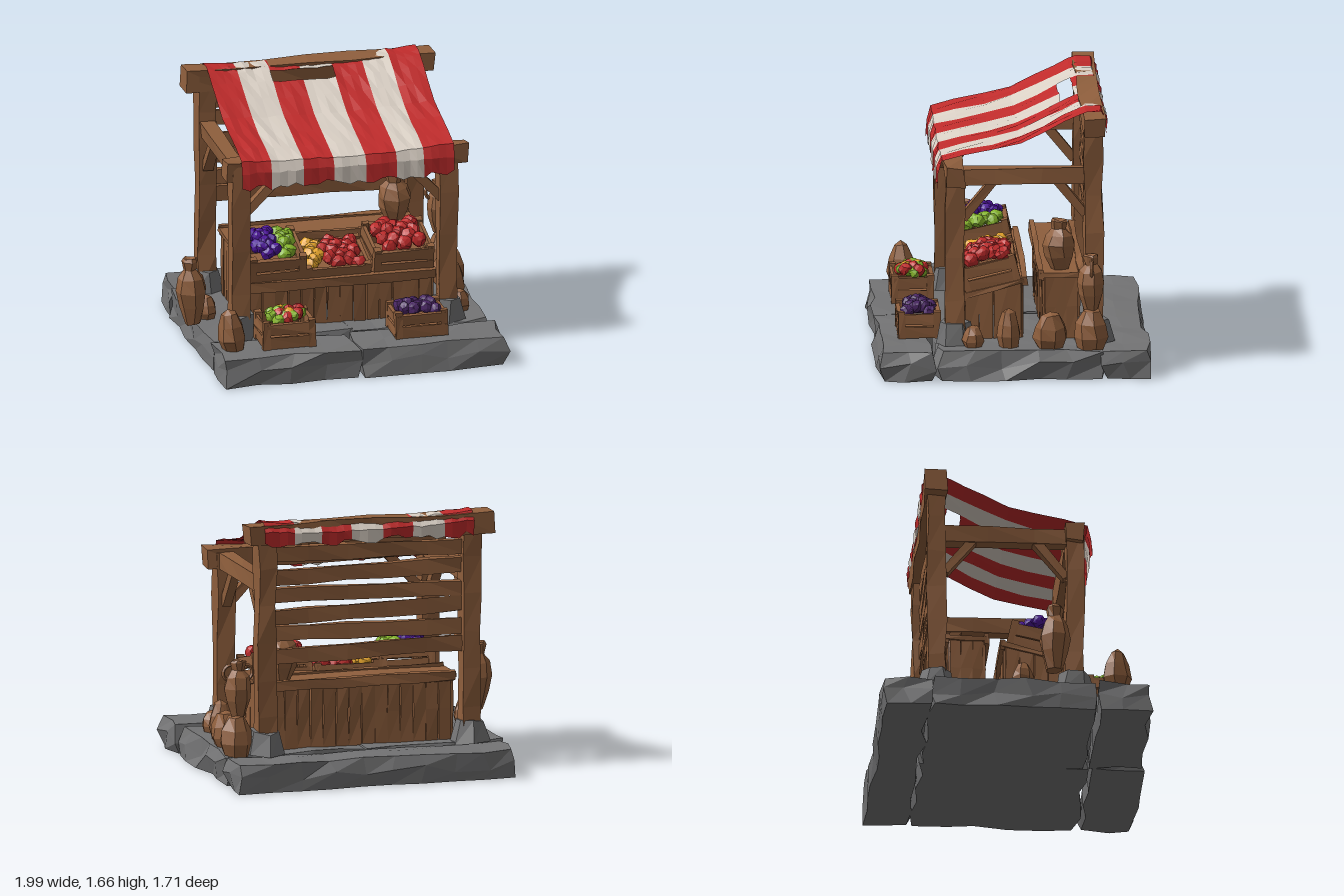
import * as THREE from 'three';

const mat = (name, color, side = THREE.FrontSide) =>
  Object.assign(new THREE.MeshStandardMaterial({ color, flatShading: true, side }), { name });

// Repeatable noise in -1..1 from a position, so coincident corners move together
function noise(x, y, z, s) {
  const v = Math.sin(Math.round(x * 1000) * 0.1271 + Math.round(y * 1000) * 0.3117 + Math.round(z * 1000) * 0.0747 + s * 3.17) * 43758.5453;
  return (v - Math.floor(v)) * 2 - 1;
}

function jitter(geo, amount, seed) {
  const p = geo.attributes.position;
  for (let i = 0; i < p.count; i++) {
    const x = p.getX(i), y = p.getY(i), z = p.getZ(i);
    p.setXYZ(i, x + amount * noise(x, y, z, seed), y + amount * noise(x, y, z, seed + 1), z + amount * noise(x, y, z, seed + 2));
  }
  geo.computeVertexNormals();
  return geo;
}

export function createModel() {
  const model = new THREE.Group();
  const wood = mat('brown wood', 0x8f5f3d, THREE.DoubleSide);
  const stone = mat('grey stone', 0x737374);
  const red = mat('red', 0xbf2b2b, THREE.DoubleSide);
  const cream = mat('cream cloth', 0xdad0c5, THREE.DoubleSide);
  const purple = mat('purple', 0x4d149a);
  const plum = mat('plum', 0x4c2767);
  const green = mat('green', 0x86b52c);
  const yellow = mat('yellow', 0xe3a32b);
  let seed = 1;

  const add = (parent, name, geo, material, x = 0, y = 0, z = 0) => {
    const m = new THREE.Mesh(geo, material);
    m.name = name;
    m.position.set(x, y, z);
    parent.add(m);
    return m;
  };
  const group = (name, parent = model) => {
    const g = new THREE.Group();
    g.name = name;
    parent.add(g);
    return g;
  };
  // Hand-hewn bar between two points
  const bar = (parent, name, a, b, w, d, amount = 0.008) => {
    const A = new THREE.Vector3(...a), B = new THREE.Vector3(...b), dir = B.clone().sub(A);
    const len = dir.length(), steps = Math.max(1, Math.round(len / 0.25));
    const m = add(parent, name, jitter(new THREE.BoxGeometry(w, len, d, 1, steps, 1), amount, seed++), wood);
    m.position.copy(A.add(B).multiplyScalar(0.5));
    m.quaternion.setFromUnitVectors(new THREE.Vector3(0, 1, 0), dir.normalize());
    return m;
  };

  // Stone base: rough slabs with flat undersides
  const base = group('stoneBase');
  const slab = (x0, x1, z0, z1, h) => {
    const w = x1 - x0, d = z1 - z0;
    const g = new THREE.BoxGeometry(w, h, d, Math.ceil(w / 0.22), 2, Math.ceil(d / 0.25));
    const p = g.attributes.position;
    for (let i = 0; i < p.count; i++) {
      const x = p.getX(i), y = p.getY(i), z = p.getZ(i);
      const k = y > 0.01 ? 0.95 : y < -0.01 ? 0.97 : 1;
      const n = 0.024;
      p.setXYZ(i, x * (1 - (1 - k) * 0.35) + n * noise(x, y, z, seed),
        y < -0.01 ? y : y + (y > 0.01 ? 0.01 : 0.03) * noise(x, y, z, seed + 5),
        z * k + n * noise(x, y, z, seed + 9));
    }
    seed++;
    g.computeVertexNormals();
    add(base, 'stoneSlab', g, stone, (x0 + x1) / 2, h / 2, (z0 + z1) / 2);
  };
  slab(-0.84, 0.03, 0.5, 0.83, 0.185);
  slab(0.03, 0.97, 0.5, 0.83, 0.18);
  slab(-0.84, 0.06, -0.56, 0.49, 0.185);
  slab(0.04, 0.96, -0.56, 0.49, 0.185);
  slab(-0.84, 0.97, -0.84, -0.55, 0.18);

  // Posts, footings, side beams and braces
  const frame = group('frame');
  const L = -0.63, R = 0.7, F = 0.36, B = -0.5;
  for (const x of [L, R]) {
    const inward = x < 0 ? 1 : -1;
    for (const z of [F, B]) {
      bar(frame, 'post', [x, 0.18, z], [x, z > 0 ? 1.3 : 1.6, z], 0.115, 0.115, 0.01);
      const foot = new THREE.CylinderGeometry(0.095, 0.125, 0.15, 6, 1);
      add(frame, 'postFooting', jitter(foot, 0.015, seed++), stone, x, 0.25, z);
    }
    bar(frame, 'sideBeam', [x, 1.25, 0.4], [x, 1.25, -0.47], 0.09, 0.1);
    bar(frame, 'sideBrace', [x, 0.98, 0.31], [x, 1.22, 0.12], 0.06, 0.055, 0.004);
    bar(frame, 'sideBrace', [x, 1.0, -0.45], [x, 1.22, -0.27], 0.06, 0.055, 0.004);
    bar(frame, 'frontBrace', [x + inward * 0.04, 0.98, F], [x + inward * 0.27, 1.22, F], 0.055, 0.055, 0.004);
  }
  bar(frame, 'frontBeam', [-0.72, 1.27, F], [0.82, 1.27, F], 0.12, 0.12, 0.012);
  bar(frame, 'backBeam', [-0.77, 1.575, -0.505], [0.82, 1.575, -0.505], 0.13, 0.13, 0.012);

  // Back wall slats
  const wall = group('backWall');
  [0.8, 0.93, 1.05, 1.17, 1.3, 1.43].forEach((y, i) => {
    const t = 0.012 * (i % 2 ? 1 : -1);
    bar(wall, 'backSlat', [-0.61, y - t, -0.5], [0.68, y + t, -0.5], 0.095, 0.035, 0.007);
  });

  // Striped awning: a profile swept across x, one mesh per stripe
  const awning = group('awning');
  const profile = [[-0.585, 1.51], [-0.59, 1.6], [-0.55, 1.655], [-0.46, 1.655], [-0.41, 1.635], [-0.325, 1.595],
    [-0.2, 1.535], [-0.05, 1.465], [0.12, 1.42], [0.3, 1.385], [0.44, 1.35], [0.465, 1.27], [0.47, 1.17]];
  const edges = [-0.635, -0.445, -0.24, -0.045, 0.16, 0.355, 0.53, 0.725];
  const clothPoint = (x, j) => {
    const [z, y] = profile[j], mid = 1 - Math.pow((x - 0.045) / 0.68, 2);
    const hem = j === 12 || j === 0 ? 0.022 : 0.006;
    return [x, y - 0.025 * mid * (j > 0 && j < 11 ? 1 : 0) + hem * noise(x, j, 0, 4), z + 0.006 * noise(x, j, 1, 7)];
  };
  for (let s = 0; s < 7; s++) {
    const pos = [], n = 4;
    for (let i = 0; i < n; i++) for (let j = 0; j < 12; j++) {
      const x0 = edges[s] + (edges[s + 1] - edges[s]) * i / n;
      const x1 = edges[s] + (edges[s + 1] - edges[s]) * (i + 1) / n;
      if (j === 4 && x0 > -0.29 && x1 < 0.17) continue; // torn slit
      const a = clothPoint(x0, j), b = clothPoint(x0, j + 1), c = clothPoint(x1, j + 1), d = clothPoint(x1, j);
      pos.push(...a, ...b, ...c, ...a, ...c, ...d);
    }
    const g = new THREE.BufferGeometry();
    g.setAttribute('position', new THREE.Float32BufferAttribute(pos, 3));
    g.computeVertexNormals();
    add(awning, 'awningStripe', g, s % 2 ? cream : red);
  }

  // Plank-sided counter and rear bench
  const plankBox = (name, x0, x1, z0, z1, yFront, yBack) => {
    const g = group(name);
    const nx = Math.round((x1 - x0) / 0.085), nz = Math.max(3, Math.round((z1 - z0) / 0.085));
    const plank = (x, z, w, d) => {
      const top = yBack + (yFront - yBack) * (z - z0) / (z1 - z0);
      bar(g, 'plank', [x, 0.18, z], [x, top, z], w, d, 0.005);
    };
    for (let i = 0; i < nx; i++) {
      const x = x0 + (x1 - x0) * (i + 0.5) / nx;
      for (const z of [z0, z1]) plank(x, z, 0.08, 0.025);
    }
    for (let i = 0; i < nz; i++) {
      const z = z0 + (z1 - z0) * (i + 0.5) / nz;
      for (const x of [x0, x1]) plank(x, z, 0.025, (z1 - z0) / nz - 0.004);
    }
    const top = add(g, 'topBoard', jitter(new THREE.BoxGeometry(x1 - x0 + 0.05, 0.03, z1 - z0 + 0.05, 5, 1, 2), 0.005, seed++),
      wood, (x0 + x1) / 2, (yFront + yBack) / 2, (z0 + z1) / 2);
    top.rotation.x = Math.atan2(yBack - yFront, z1 - z0);
    bar(g, 'frontRail', [x0 - 0.02, yFront, z1 + 0.02], [x1 + 0.02, yFront, z1 + 0.02], 0.06, 0.035, 0.006);
    bar(g, 'backRail', [x0 - 0.02, yBack, z0 - 0.02], [x1 + 0.02, yBack, z0 - 0.02], 0.06, 0.035, 0.006);
  };
  plankBox('counter', -0.55, 0.62, -0.06, 0.29, 0.46, 0.55);
  plankBox('rearBench', -0.54, 0.63, -0.41, -0.2, 0.59, 0.59);

  // Slatted crates; each load is [material, from, to, count, radius], as fractions of the width
  const crate = (name, x, y, z, w, h, d, tilt, loads) => {
    const g = group(name);
    g.position.set(x, y, z);
    g.rotation.x = tilt;
    add(g, 'crateFloor', new THREE.BoxGeometry(w - 0.02, 0.02, d - 0.02), wood, 0, 0.01, 0);
    const rows = h > 0.12 ? 2 : 1, rh = h / rows;
    for (let r = 0; r < rows; r++) for (const s of [-1, 1]) {
      const yy = rh * (r + 0.5);
      bar(g, 'crateSlat', [-w / 2, yy, s * d / 2], [w / 2, yy, s * d / 2], rh - 0.012, 0.022, 0.005);
      bar(g, 'crateSlat', [s * w / 2, yy, -d / 2], [s * w / 2, yy, d / 2], 0.022, rh - 0.012, 0.005);
    }
    for (const sx of [-1, 1]) for (const sz of [-1, 1])
      bar(g, 'cratePost', [sx * (w / 2 - 0.01), 0, sz * (d / 2 - 0.01)], [sx * (w / 2 - 0.01), h + 0.01, sz * (d / 2 - 0.01)], 0.045, 0.045, 0.004);
    for (const [m, from, to, count, r, rise = 0.03] of loads) for (let i = 0; i < count; i++) {
      const fx = (from + (to - from) * ((i * 0.618 + 0.3) % 1)) * (w - 0.09) - (w - 0.09) / 2;
      const fz = ((i + 0.5) / count - 0.5) * (d - 0.08);
      const f = add(g, 'produce', jitter(new THREE.IcosahedronGeometry(r, 1), r * 0.12, seed++), m,
        fx, h - 0.01 + rise * (1 - Math.abs(fz) / d * 2) + 0.012 * noise(i, fx, fz, 3), fz);
      f.rotation.set(i, i * 2, i * 3);
      f.scale.y = 0.9;
    }
  };
  crate('leftCounterCrate', -0.37, 0.505, 0.12, 0.34, 0.18, 0.34, 0.22,
    [[purple, 0, 0.5, 16, 0.042, 0.085], [green, 0.62, 1, 9, 0.045, 0.035]]);
  crate('middleCounterCrate', 0.02, 0.5, 0.12, 0.4, 0.09, 0.34, 0.22,
    [[yellow, 0, 0.22, 7, 0.045], [red, 0.32, 1, 15, 0.048]]);
  crate('rightCounterCrate', 0.44, 0.505, 0.12, 0.36, 0.17, 0.34, 0.22, [[red, 0, 0.95, 17, 0.05, 0.05]]);
  crate('leftGroundCrate', -0.39, 0.185, 0.575, 0.31, 0.17, 0.24, 0,
    [[green, 0, 0.6, 6, 0.042], [red, 0.2, 1, 6, 0.042, 0.05], [green, 0.6, 1, 4, 0.038], [yellow, 0.3, 0.6, 2, 0.035, 0.06]]);
  crate('rightGroundCrate', 0.455, 0.185, 0.575, 0.31, 0.16, 0.24, 0, [[plum, 0, 1, 15, 0.043]]);

  // Faceted jars and sacks
  const jarShape = [[0, 0], [0.5, 0], [0.85, 0.28], [1, 0.5], [0.8, 0.7], [0.42, 0.82], [0.55, 0.97], [0.4, 1], [0, 0.95]];
  const sackShape = [[0, 0], [0.75, 0], [1, 0.3], [0.85, 0.6], [0.5, 0.9], [0, 1]];
  const pot = (name, shape, x, y, z, r, h, lean = 0) => {
    const pts = shape.map(([a, b]) => new THREE.Vector2(a * r, b * h));
    const m = add(model, name, jitter(new THREE.LatheGeometry(pts, 7), r * 0.07, seed++), wood, x, y, z);
    m.rotation.z = lean;
  };
  pot('largeJar', jarShape, -0.89, 0.23, 0.22, 0.1, 0.43, 0.05);
  pot('frontLeftSack', sackShape, -0.73, 0.18, 0.62, 0.09, 0.27, 0.12);
  pot('smallLeftPot', sackShape, -0.76, 0.18, 0.03, 0.07, 0.16);
  pot('benchJar', jarShape, 0.53, 0.6, -0.3, 0.105, 0.32);
  pot('backRightSack', sackShape, 0.88, 0.18, -0.48, 0.11, 0.27);
  pot('backRightJug', jarShape, 0.87, 0.43, -0.48, 0.09, 0.35);
  pot('middleRightSack', sackShape, 0.85, 0.18, -0.23, 0.11, 0.24, -0.1);
  pot('rightSack', sackShape, 0.82, 0.18, 0.03, 0.08, 0.25);
  pot('frontRightPot', sackShape, 0.81, 0.18, 0.25, 0.07, 0.14);
  // Jug handles
  for (const s of [-1, 1]) {
    const handle = add(model, 'jugHandle', new THREE.TorusGeometry(0.05, 0.011, 4, 7, Math.PI), wood, 0.87 + s * 0.045, 0.7, -0.48);
    handle.rotation.z = -s * Math.PI / 2;
  }
  return model;
}
